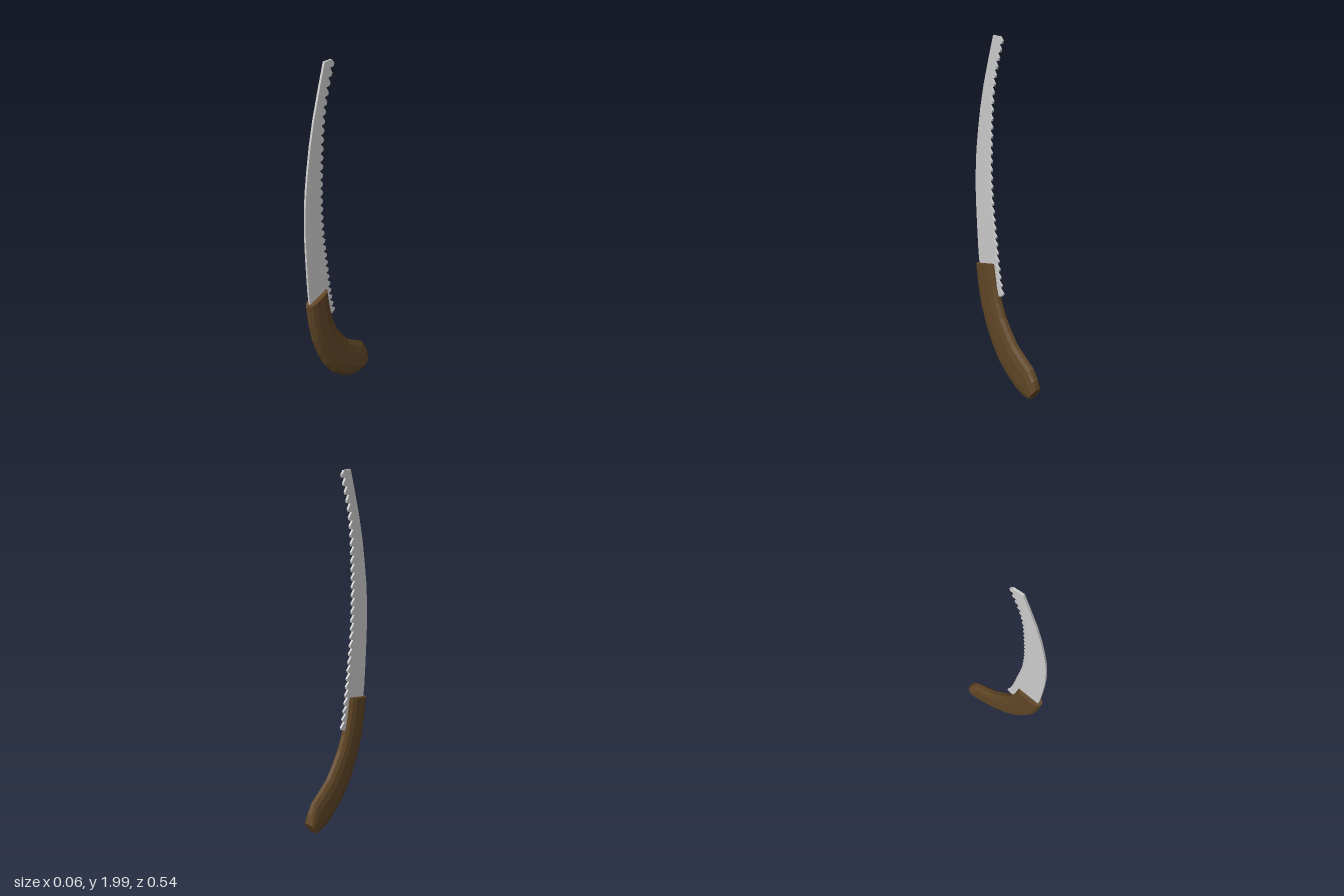
import * as THREE from 'three';

const v2 = (pairs) => pairs.map(([z, y]) => new THREE.Vector2(z, y));

// Flat steel blade: curved spine, saw teeth raked towards the handle
function createBlade() {
  const spine = new THREE.SplineCurve(v2([
    [0.2, 0.5], [0.243, 0.68], [0.265, 1.0], [0.268, 1.2], [0.253, 1.4], [0.2, 1.69], [0.106, 2.0],
  ])).getPoints(14);
  const edge = new THREE.SplineCurve(v2([
    [0.032, 1.98], [0.085, 1.81], [0.11, 1.66], [0.123, 1.45], [0.126, 1.29], [0.12, 1.13],
    [0.105, 1.0], [0.093, 0.92], [0.072, 0.77], [0.052, 0.65], [0.03, 0.57],
  ]));

  const outline = [...spine, new THREE.Vector2(0.05, 2.0)];
  const teeth = 30;
  for (let i = 0; i <= teeth; i++) {
    const tip = edge.getPointAt(i / teeth);
    outline.push(tip, new THREE.Vector2(tip.x + 0.005, tip.y - 0.015));
    if (i < teeth) {
      const next = edge.getPointAt((i + 0.5) / teeth);
      outline.push(new THREE.Vector2(next.x + 0.025, next.y + 0.003));
    }
  }
  outline.push(new THREE.Vector2(0.07, 0.54), new THREE.Vector2(0.12, 0.5));

  const geometry = new THREE.ExtrudeGeometry(new THREE.Shape(outline), { depth: 0.012, bevelEnabled: false });
  geometry.rotateY(-Math.PI / 2).translate(0.004, 0, 0);
  const blade = new THREE.Mesh(geometry, new THREE.MeshStandardMaterial({ color: 0xcccccc, flatShading: true }));
  blade.name = 'blade';
  return blade;
}

// Curved pistol-style grip: a chamfered section swept between two edge lines
function createHandle() {
  // each station: inner z, inner y, outer z, outer y
  const stations = [
    [0.108, 0.73, 0.262, 0.687], [0.085, 0.6, 0.244, 0.56], [0.058, 0.507, 0.218, 0.443],
    [0.021, 0.427, 0.175, 0.332], [-0.032, 0.353, 0.117, 0.22], [-0.085, 0.29, 0.053, 0.135],
    [-0.148, 0.247, -0.021, 0.072], [-0.222, 0.2, -0.09, 0.029], [-0.255, 0.146, -0.17, 0.006],
    [-0.27, 0.09, -0.222, 0.013],
  ];
  // half of the section: [half width, fraction from inner to outer edge]
  const half = [[0.011, 0], [0.025, 0.1], [0.032, 0.3], [0.032, 0.7], [0.025, 0.9], [0.011, 1]];
  const section = [...half, ...half.map(([x, t]) => [-x, t]).reverse()];
  const n = section.length;
  const positions = [];
  const index = [];

  for (const [iz, iy, oz, oy] of stations) {
    for (const [x, t] of section) positions.push(x, iy + (oy - iy) * t, iz + (oz - iz) * t);
  }
  for (let i = 0; i < stations.length - 1; i++) {
    for (let j = 0; j < n; j++) {
      const a = i * n + j;
      const b = i * n + ((j + 1) % n);
      index.push(a, b, a + n, b, b + n, a + n);
    }
  }
  // end caps
  const last = (stations.length - 1) * n;
  for (let j = 1; j < n - 1; j++) {
    index.push(0, j + 1, j);
    index.push(last, last + j, last + j + 1);
  }

  const geometry = new THREE.BufferGeometry();
  geometry.setAttribute('position', new THREE.Float32BufferAttribute(positions, 3));
  geometry.setIndex(index);
  geometry.computeVertexNormals();
  const handle = new THREE.Mesh(geometry, new THREE.MeshStandardMaterial({ color: 0x604626, flatShading: true }));
  handle.name = 'handle';
  return handle;
}

export function createModel() {
  const saw = new THREE.Group();
  saw.name = 'pruningSaw';
  saw.add(createBlade(), createHandle());
  return saw;
}
